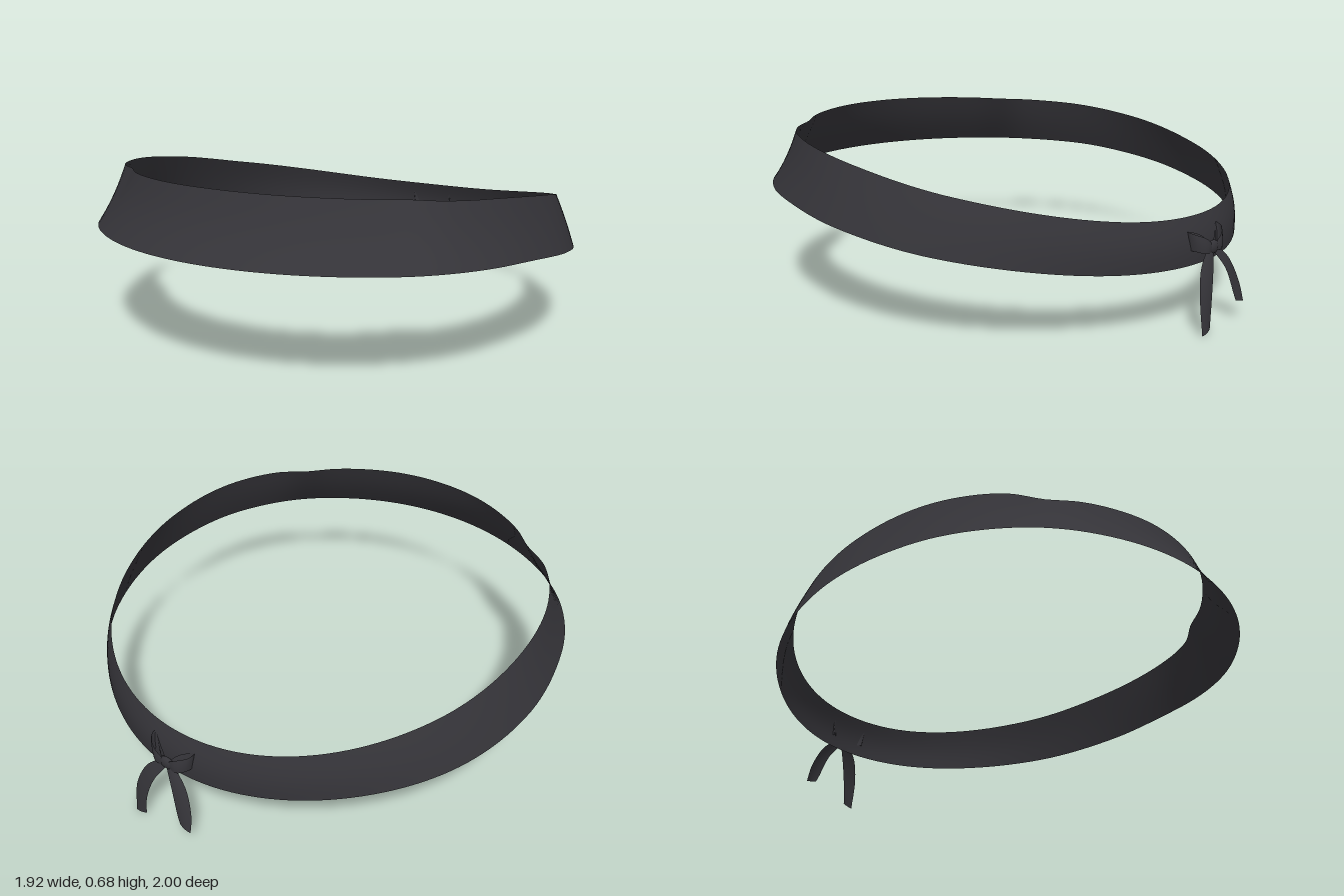
import * as THREE from 'three';

// Surface through a grid of points; rows may wrap into a loop
function sheet(rows, closed = false) {
  const n = rows[0].length, pos = rows.flat(2), index = [];
  const count = closed ? rows.length : rows.length - 1;
  for (let i = 0; i < count; i++) {
    const a = i * n, b = ((i + 1) % rows.length) * n;
    for (let j = 0; j < n - 1; j++) {
      index.push(a + j, b + j, b + j + 1, a + j, b + j + 1, a + j + 1);
    }
  }
  const g = new THREE.BufferGeometry();
  g.setAttribute('position', new THREE.Float32BufferAttribute(pos, 3));
  g.setIndex(index);
  g.computeVertexNormals();
  return g;
}

// Smooth interpolation through sorted [key, value] pairs
function lookup(table, k) {
  let i = 0;
  while (i < table.length - 2 && k > table[i + 1][0]) i++;
  const at = (j) => table[Math.max(0, Math.min(table.length - 1, j))];
  const slope = (j) => (at(j + 1)[1] - at(j - 1)[1]) / (at(j + 1)[0] - at(j - 1)[0]);
  const [k0, v0] = at(i), [k1, v1] = at(i + 1), h = k1 - k0;
  const t = Math.max(0, Math.min(1, (k - k0) / h));
  const end = (j) => (j === 0 || j === table.length - 1 ? 0 : slope(j));
  const t2 = t * t, t3 = t2 * t;
  return v0 * (2 * t3 - 3 * t2 + 1) + h * end(i) * (t3 - 2 * t2 + t)
    + v1 * (3 * t2 - 2 * t3) + h * end(i + 1) * (t3 - t2);
}

// Radii by angle from the front, heights by angle
const topRadius = [[0, 0.877], [13, 0.877], [25, 0.872], [34, 0.868], [43, 0.858], [52, 0.888],
  [65, 0.89], [90, 0.872], [117, 0.868], [150, 0.876], [180, 0.88]];
const lowRadius = [[0, 1], [30, 1], [45, 1], [60, 0.985], [75, 0.965], [90, 0.957],
  [115, 0.938], [138, 0.912], [155, 0.905], [180, 0.912]];
const topHeight = [[0, 0.68], [63, 0.642], [90, 0.592], [117, 0.515], [155, 0.42], [180, 0.398]];
const lowHeight = [[0, 0.45], [66, 0.425], [90, 0.382], [115, 0.32], [152, 0.245], [180, 0.228]];

function bandGeometry() {
  const rows = [], steps = 160, across = 8;
  for (let i = 0; i < steps; i++) {
    const deg = (i / steps) * 360, a = THREE.MathUtils.degToRad(deg);
    const k = deg > 180 ? 360 - deg : deg;
    const row = [];
    for (let j = 0; j <= across; j++) {
      const v = j / across;
      const dip = 0.012 * Math.cos(a) * Math.sin(Math.PI * v);
      const r = THREE.MathUtils.lerp(lookup(lowRadius, k), lookup(topRadius, k), v) - dip;
      const y = THREE.MathUtils.lerp(lookup(lowHeight, k), lookup(topHeight, k), v);
      row.push([Math.sin(a) * r, y, Math.cos(a) * r]);
    }
    rows.push(row);
  }
  return sheet(rows, true);
}

// Ribbon between two edge curves, with a slight crown across its width
function ribbonGeometry(edgeA, edgeB, crown) {
  const curve = (p) => new THREE.CatmullRomCurve3(p.map((q) => new THREE.Vector3(...q)));
  const a = curve(edgeA), b = curve(edgeB), rows = [];
  for (let i = 0; i <= 16; i++) {
    const p = a.getPoint(i / 16), q = b.getPoint(i / 16), row = [];
    for (let j = 0; j <= 4; j++) {
      const m = p.clone().lerp(q, j / 4);
      m.z -= crown * Math.sin((Math.PI * j) / 4);
      row.push(m.toArray());
    }
    rows.push(row);
  }
  return sheet(rows);
}

export function createModel() {
  const model = new THREE.Group();
  model.name = 'headband';
  const cloth = new THREE.MeshStandardMaterial({ color: 0x353439, side: THREE.DoubleSide });
  cloth.name = 'dark cloth';
  const add = (name, geometry, parent = model) => {
    const mesh = new THREE.Mesh(geometry, cloth);
    mesh.name = name;
    parent.add(mesh);
    return mesh;
  };

  add('band', bandGeometry());

  // Knot at the back
  const bow = new THREE.Group();
  bow.name = 'bow';
  model.add(bow);
  const knot = add('knot', new THREE.SphereGeometry(1, 12, 8), bow);
  knot.scale.set(0.035, 0.026, 0.014);
  knot.position.set(0, 0.285, -0.94);

  for (const s of [1, -1]) {
    const side = s > 0 ? 'left' : 'right';
    const mirror = (pts) => pts.map(([x, y, z]) => [x * s, y, z]);

    // Small folded loop: out behind the band, back over itself
    add(side + 'Loop', ribbonGeometry(
      mirror([[0.01, 0.298, -0.935], [0.05, 0.335, -0.918], [0.1, 0.352, -0.892],
        [0.095, 0.345, -0.918], [0.05, 0.325, -0.944], [0.01, 0.298, -0.945]]),
      mirror([[0.01, 0.272, -0.935], [0.05, 0.275, -0.922], [0.09, 0.283, -0.895],
        [0.085, 0.28, -0.925], [0.05, 0.27, -0.95], [0.01, 0.272, -0.945]]), 0.003), bow);

    // Hanging tail; the right one is shorter
    const end = s > 0 ? 0 : 0.06;
    add(side + 'Tail', ribbonGeometry(
      mirror([[0, 0.27, -0.945], [0.045, 0.2, -0.972], [0.08, 0.1, -0.99], [0.092, 0.012 + end, -0.994]]),
      mirror([[0.02, 0.295, -0.935], [0.1, 0.225, -0.954], [0.14, 0.13, -0.978], [0.145, end, -0.996]]),
      0.004), bow);
  }
  return model;
}
